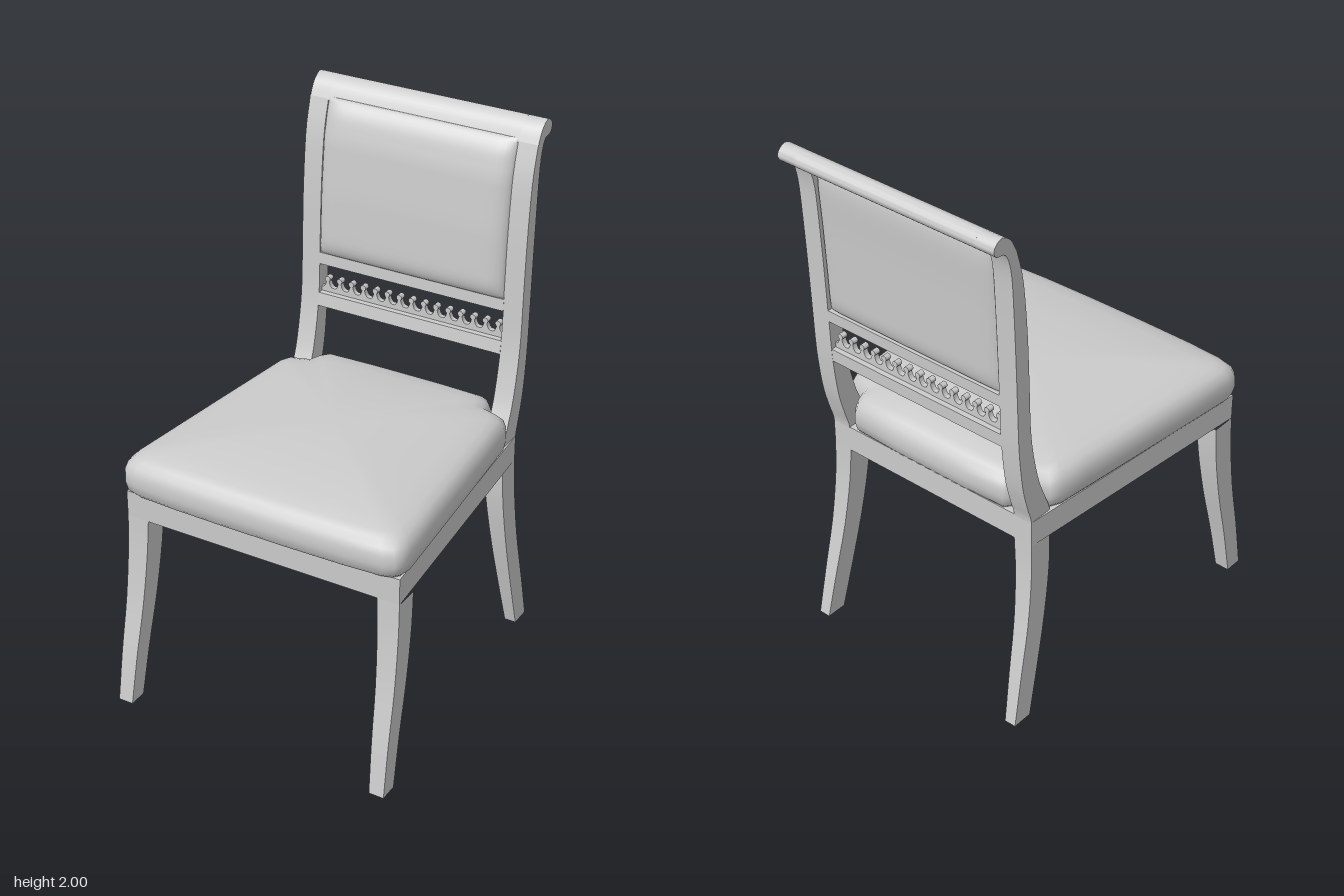
import * as THREE from 'three';
import { toCreasedNormals } from 'three/addons/utils/BufferGeometryUtils.js';

const material = new THREE.MeshStandardMaterial({ color: 0xcccccc });

function addMesh(group, name, geometry, crease = 0.6) {
  const mesh = new THREE.Mesh(toCreasedNormals(geometry, crease), material);
  mesh.name = name;
  group.add(mesh);
  return mesh;
}

// Skin over closed rings of [x, y, z], each running counterclockwise from above, bottom ring first
function loft(rings) {
  const n = rings[0].length, index = [];
  for (let r = 0; r < rings.length - 1; r++) {
    for (let j = 0; j < n; j++) {
      const k = (j + 1) % n, a = r * n + j, b = r * n + k, c = b + n, d = a + n;
      index.push(a, b, c, a, c, d);
    }
  }
  const g = new THREE.BufferGeometry();
  g.setAttribute('position', new THREE.Float32BufferAttribute(rings.flat(2), 3));
  g.setIndex(index);
  return g;
}

// Side profile of [z, y] points extruded across x from x0 to x1
function acrossX(points, x0, x1) {
  const shape = new THREE.Shape(points.map(([z, y]) => new THREE.Vector2(z, y)));
  const g = new THREE.ExtrudeGeometry(shape, { depth: x1 - x0, bevelEnabled: false });
  return g.rotateY(-Math.PI / 2).translate(x1, 0, 0);
}

function smooth(points, count) {
  const curve = new THREE.SplineCurve(points.map(p => new THREE.Vector2(...p)));
  return curve.getPoints(count).map(p => [p.x, p.y]);
}

// Back frame profile: front edge going up, scroll, back edge going down
const frontEdge = [[-0.375, 0.73], [-0.375, 0.83], [-0.4, 0.9], [-0.437, 1.0], [-0.472, 1.18],
  [-0.483, 1.4], [-0.493, 1.6], [-0.513, 1.8], [-0.543, 1.92]];
const scroll = [[-0.545, 1.925], [-0.572, 1.975], [-0.61, 2.0], [-0.64, 1.988], [-0.65, 1.965],
  [-0.636, 1.943], [-0.605, 1.938], [-0.585, 1.912]];
const backEdge = [[-0.568, 1.84], [-0.558, 1.7], [-0.548, 1.5], [-0.54, 1.3], [-0.533, 1.15],
  [-0.515, 1.0], [-0.49, 0.9], [-0.47, 0.83], [-0.47, 0.73]];

function zAt(edge, y) {
  const pts = [...edge].sort((a, b) => a[1] - b[1]);
  for (let i = 1; i < pts.length; i++) {
    if (y <= pts[i][1]) {
      const [z0, y0] = pts[i - 1], [z1, y1] = pts[i];
      return z0 + (z1 - z0) * (y - y0) / (y1 - y0);
    }
  }
  return pts[pts.length - 1][0];
}

// Curved leg from rows of [y, zFront, zBack, xInner, xOuter]
function legGeometry(rows, side) {
  const ring = ([y, zf, zb, xi, xo]) => {
    const [l, r] = side > 0 ? [xi, xo] : [-xo, -xi];
    return [[l, y, zf], [r, y, zf], [r, y, zb], [l, y, zb]];
  };
  const [y, zf, zb, xi, xo] = rows[0], mid = [side * (xi + xo) / 2, y, (zf + zb) / 2];
  const curves = new THREE.CatmullRomCurve3(rows.map(r => new THREE.Vector3(r[0], r[1], r[2])));
  const rings = curves.getPoints(12).map(p => {
    const t = p.x / 0.73, last = rows[rows.length - 1];
    return ring([p.x, p.y, p.z, xi + (last[3] - xi) * t, xo + (last[4] - xo) * t]);
  });
  return loft([[mid, mid, mid, mid], ...rings]);
}

// Upholstered face of the backrest; dir is +1 for the front, -1 for the rear
function padGeometry(edge, dir, inset, bulge) {
  const w = 0.376, y0 = 1.352, y1 = 1.938;
  const g = new THREE.PlaneGeometry(2, 2, 28, 28);
  const p = g.attributes.position;
  const rise = d => Math.sqrt(1 - Math.pow(1 - Math.min(1, d / 0.075), 2));
  for (let i = 0; i < p.count; i++) {
    // Crowd the grid towards the rim where the pad curves most
    const u = Math.sin(p.getX(i) * Math.PI / 2), v = Math.sin(p.getY(i) * Math.PI / 2);
    const y = y0 + (y1 - y0) * (v + 1) / 2;
    const h = rise((1 - Math.abs(u)) * w) * rise((1 - Math.abs(v)) * (y1 - y0) / 2);
    p.setXYZ(i, u * w * dir, y, zAt(edge, y) + dir * (bulge * h - inset));
  }
  return g;
}

export function createModel() {
  const chair = new THREE.Group();
  chair.name = 'chair';

  // Legs and back posts
  const frontRows = [[0, 0.65, 0.58, 0.49, 0.547], [0.2, 0.617, 0.54, 0.48, 0.545],
    [0.4, 0.577, 0.493, 0.47, 0.543], [0.6, 0.552, 0.46, 0.46, 0.54], [0.73, 0.545, 0.45, 0.455, 0.54]];
  const backRows = [[0, -0.5, -0.58, 0.425, 0.47], [0.2, -0.453, -0.54, 0.41, 0.465],
    [0.4, -0.41, -0.498, 0.395, 0.46], [0.6, -0.38, -0.474, 0.385, 0.455], [0.73, -0.375, -0.47, 0.375, 0.45]];
  const postProfile = [...smooth([...frontEdge, ...scroll, ...backEdge], 90)];
  for (const side of [1, -1]) {
    const label = side > 0 ? 'left' : 'right';
    addMesh(chair, label + 'FrontLeg', legGeometry(frontRows, side));
    addMesh(chair, label + 'BackLeg', legGeometry(backRows, side));
    const [x0, x1] = side > 0 ? [0.375, 0.45] : [-0.45, -0.375];
    addMesh(chair, label + 'BackPost', acrossX(postProfile, x0, x1));
  }

  // Scrolled top rail
  addMesh(chair, 'topRail', acrossX(smooth(scroll, 30), -0.376, 0.376));

  // Straight rails between the posts
  for (const [name, low, high] of [['padRail', 1.31, 1.355], ['lowerRail', 1.145, 1.195]]) {
    const profile = [[zAt(frontEdge, low), low], [zAt(frontEdge, high), high],
      [zAt(backEdge, high), high], [zAt(backEdge, low), low]];
    addMesh(chair, name, acrossX(profile, -0.376, 0.376));
  }

  // Scalloped trim with a bead on every point
  const trim = new THREE.Group();
  trim.name = 'scallopedTrim';
  chair.add(trim);
  const z = -0.505, step = 0.05, first = -0.35, beads = 15;
  const scallops = new THREE.Shape();
  scallops.moveTo(-0.376, 1.19);
  scallops.lineTo(0.376, 1.19);
  scallops.lineTo(0.376, 1.213);
  for (let i = beads - 1; i >= 0; i--) {
    const x = first + i * step;
    scallops.quadraticCurveTo(x + 0.01, 1.208, x + 0.004, 1.245);
    scallops.lineTo(x - 0.004, 1.245);
    scallops.quadraticCurveTo(x - 0.01, 1.208, x - step / 2, 1.213);
  }
  scallops.lineTo(-0.376, 1.213);
  const band = new THREE.ExtrudeGeometry(scallops, { depth: 0.02, bevelEnabled: false, curveSegments: 6 });
  addMesh(trim, 'scallops', band.translate(0, 0, z - 0.01));
  for (let i = 0; i < beads; i++) {
    const bead = new THREE.CylinderGeometry(0.011, 0.011, 0.024, 12).rotateX(Math.PI / 2);
    addMesh(trim, 'bead', bead.translate(first + i * step, 1.247, z));
  }

  // Backrest upholstery
  addMesh(chair, 'backrestPadFront', padGeometry(frontEdge, 1, 0.01, 0.038), 1);
  addMesh(chair, 'backrestPadRear', padGeometry(backEdge, -1, 0.02, 0.026), 1);

  // Seat frame, tapering to the rear
  const plan = new THREE.Shape([[-0.54, -0.545], [0.54, -0.545], [0.45, 0.47], [-0.45, 0.47]]
    .map(p => new THREE.Vector2(...p)));
  const frame = new THREE.ExtrudeGeometry(plan, { depth: 0.1, bevelEnabled: false });
  addMesh(chair, 'seatFrame', frame.rotateX(-Math.PI / 2).translate(0, 0.73, 0));

  // Domed seat cushion, notched around the back posts
  const half = [[0.12, 0.586], [0.35, 0.582], [0.49, 0.574], [0.53, 0.563], [0.549, 0.54], [0.556, 0.5],
    [0.535, 0.28], [0.51, 0.02], [0.486, -0.22], [0.474, -0.34], [0.455, -0.38], [0.38, -0.405],
    [0.362, -0.45], [0.335, -0.483], [0.15, -0.49]];
  const outline = [...half, ...[...half].reverse().map(([x, zz]) => [-x, zz])];
  const levels = [[0.965, 0.83], [0.987, 0.845], [1, 0.88], [0.997, 0.915], [0.98, 0.943], [0.945, 0.963],
    [0.89, 0.975], [0.78, 0.988], [0.5, 1.006], [0.25, 1.015], [0, 1.018]];
  const rings = levels.map(([s, y]) => outline.map(([x, zz]) => [x * s, y, 0.05 + (zz - 0.05) * s]));
  addMesh(chair, 'seatCushion', loft(rings), 1);

  return chair;
}
